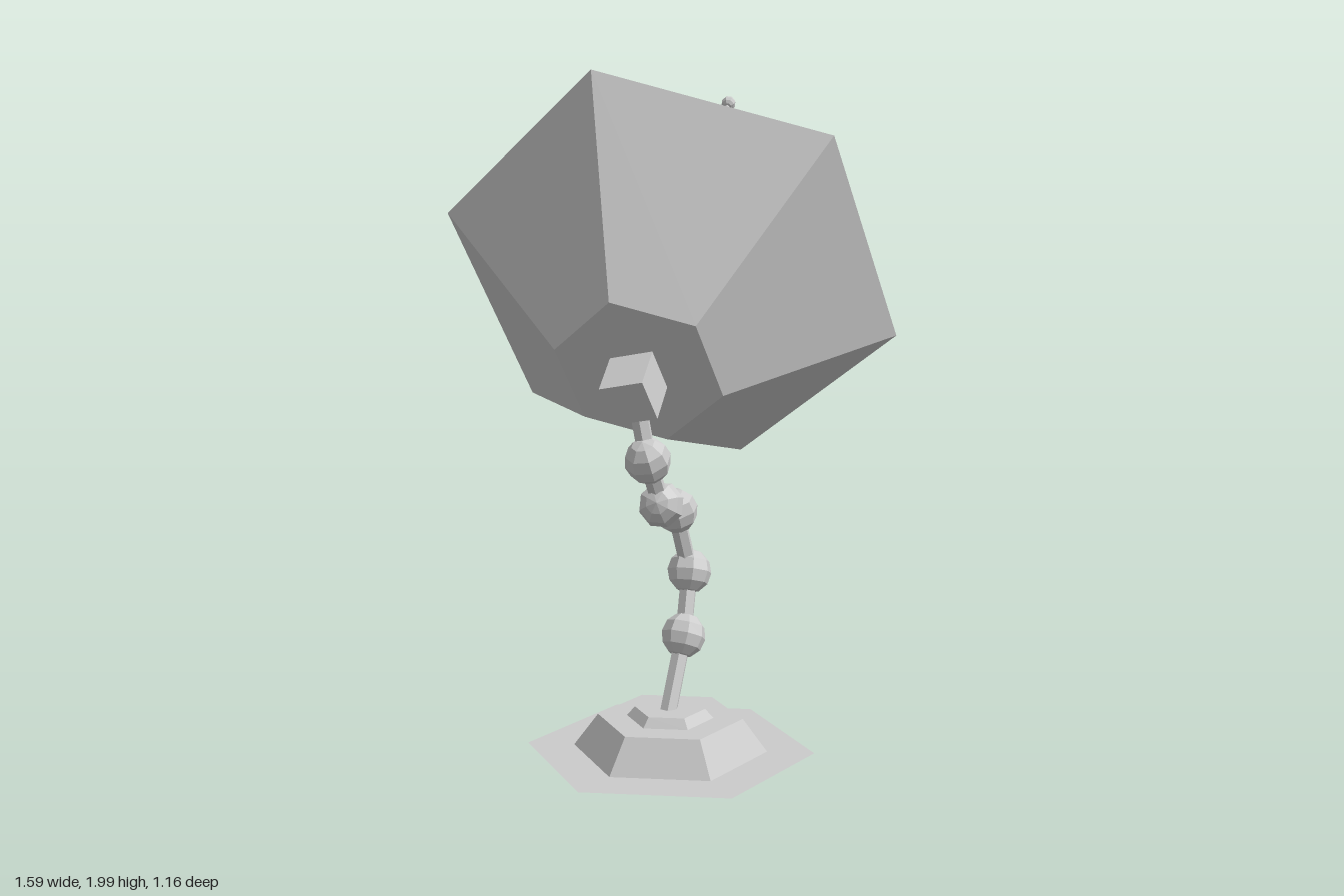
import * as THREE from 'three';

const grey = new THREE.MeshStandardMaterial({ color: 0xcccccc, flatShading: true });
const greyThin = new THREE.MeshStandardMaterial({ color: 0xcccccc, flatShading: true, side: THREE.DoubleSide });
const V = (x, y, z) => new THREE.Vector3(x, y, z);
const UP = V(0, 1, 0);

function add(parent, name, geometry, material = grey) {
  const mesh = new THREE.Mesh(geometry, material);
  mesh.name = name;
  parent.add(mesh);
  return mesh;
}

// Six-sided turned shape with its corners on the local x axis
function hexLathe(profile) {
  const points = profile.map(([r, y]) => new THREE.Vector2(r, y));
  return new THREE.LatheGeometry(points, 6, Math.PI / 2);
}

function createArm() {
  const arm = new THREE.Group();
  arm.name = 'arm';
  // Base, five ball joints, dish mount
  const path = [
    V(-0.38, 0.11, 0.2), V(-0.27, 0.32, 0.177), V(-0.2, 0.5, 0.148), V(-0.26, 0.697, 0.14),
    V(-0.44, 0.757, 0.222), V(-0.52, 0.9, 0.235), V(-0.53, 1.09, 0.2),
  ];
  for (let i = 1; i < path.length; i++) {
    const a = path[i - 1], b = path[i];
    const dir = b.clone().sub(a);
    const turn = new THREE.Quaternion().setFromUnitVectors(UP, dir.clone().normalize());
    const link = add(arm, 'armLink', new THREE.CylinderGeometry(0.027, 0.027, dir.length(), 6));
    link.position.copy(a).add(b).multiplyScalar(0.5);
    link.quaternion.copy(turn);
    if (i < path.length - 1) {
      const joint = add(arm, 'ballJoint', new THREE.SphereGeometry(0.068, 8, 6));
      joint.position.copy(b);
      joint.quaternion.copy(turn);
    }
  }
  return arm;
}

// Dish group: local y is the dish axis, origin at the rim centre
function createDish() {
  const dish = new THREE.Group();
  dish.name = 'dish';

  add(dish, 'dishBowl', hexLathe([
    [0, -0.497], [0.249, -0.497], [0.714, 0], [0.666, 0.028], [0.236, -0.42], [0, -0.42],
  ]), greyThin);

  add(dish, 'dishMount', new THREE.BoxGeometry(0.13, 0.16, 0.13)).position.y = -0.56;

  // Tapered antenna with ball tip
  const start = -0.425, end = 1.076;
  add(dish, 'antennaRod', new THREE.CylinderGeometry(0.007, 0.03, end - start, 6)).position.y = (start + end) / 2;
  add(dish, 'antennaTip', new THREE.SphereGeometry(0.026, 8, 6)).position.y = end;

  // Flat hexagonal rings around the antenna
  for (const [y, inner, outer] of [[0.33, 0.143, 0.176], [0.845, 0.049, 0.058]]) {
    const ring = add(dish, 'antennaRing', new THREE.RingGeometry(inner, outer, 6), greyThin);
    ring.rotation.x = -Math.PI / 2;
    ring.position.y = y;
  }

  // Tilt the axis up and to the side, one rim corner at the top
  const axis = V(0.79, 0.5, -0.352).normalize();
  const corner = V(-0.5, 0.79, 0).normalize();
  dish.quaternion.setFromRotationMatrix(
    new THREE.Matrix4().makeBasis(corner, axis, corner.clone().cross(axis)));
  dish.position.set(-0.09, 1.39, 0);
  return dish;
}

export function createModel() {
  const model = new THREE.Group();
  model.name = 'satelliteDish';

  // Hollow stepped foot with a flat ground flange
  const base = add(model, 'base', hexLathe([
    [0.43, 0], [0.29, 0], [0.217, 0.098], [0.13, 0.098], [0.105, 0.125], [0, 0.125],
  ]), greyThin);
  base.position.set(-0.37, 0, 0.2);

  model.add(createArm(), createDish());
  return model;
}
